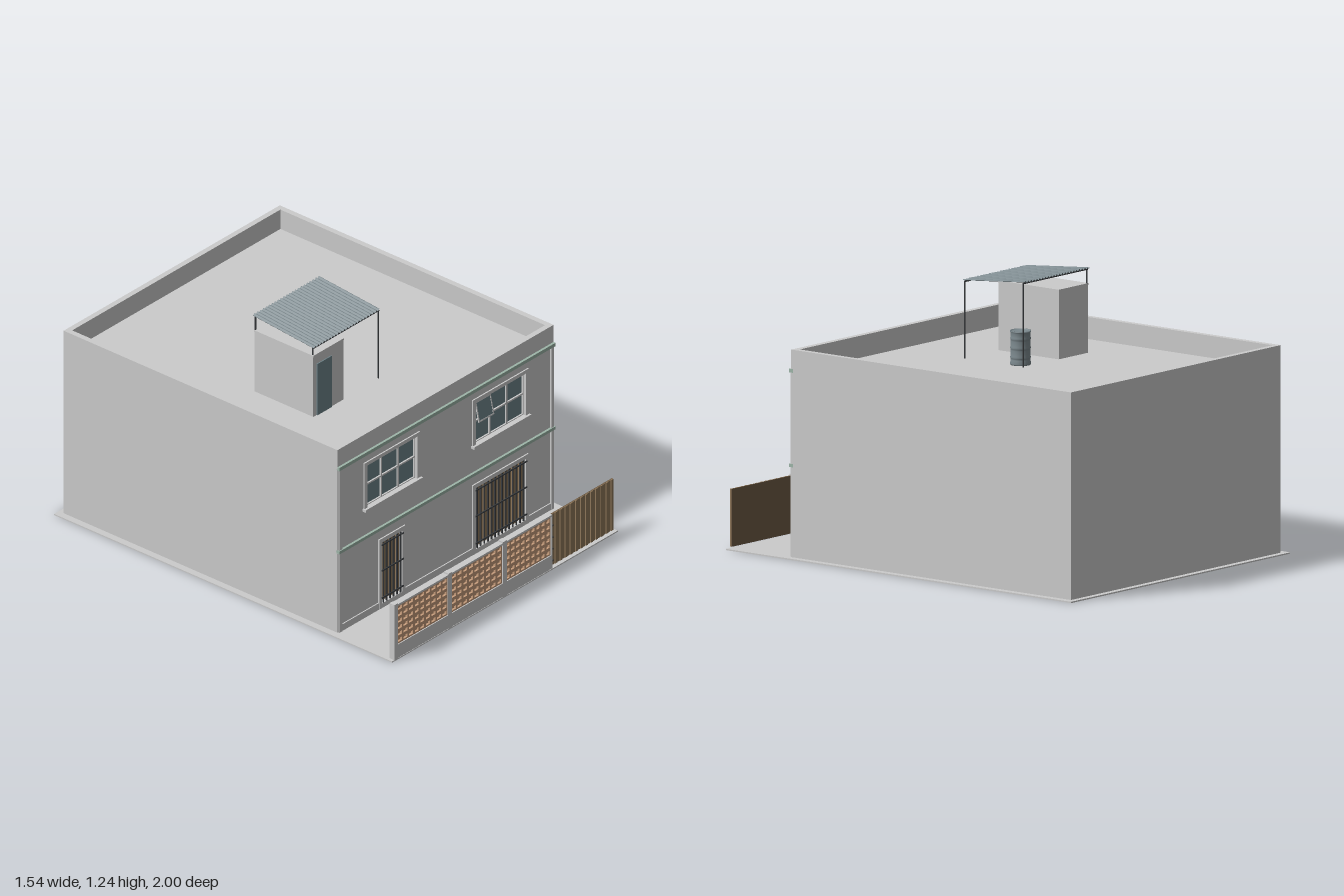
import * as THREE from 'three';

const mat = (color) => new THREE.MeshStandardMaterial({ color, side: THREE.DoubleSide });
const GREY = mat(0xcccccc), GREEN = mat(0x9db5a8), GLASS = mat(0x6f858b), DARK = mat(0x3a3d40);
const WOOD = mat(0x8f7759), WOOD_DARK = mat(0x6f5b45), BRICK = mat(0xc79d7c), STEEL = mat(0x7b888d);

export function createModel() {
  const model = new THREE.Group();
  const add = (name, geometry, material, parent = model) => {
    const mesh = new THREE.Mesh(geometry, material);
    mesh.name = name;
    parent.add(mesh);
    return mesh;
  };
  // box given by its minimum and maximum along each axis
  const box = (name, x0, x1, y0, y1, z0, z1, material = GREY, parent = model) => {
    const mesh = add(name, new THREE.BoxGeometry(x1 - x0, y1 - y0, z1 - z0), material, parent);
    mesh.position.set((x0 + x1) / 2, (y0 + y1) / 2, (z0 + z1) / 2);
    return mesh;
  };
  const group = (name) => {
    const g = new THREE.Group();
    g.name = name;
    model.add(g);
    return g;
  };
  const rect = (x0, x1, y0, y1, Type = THREE.Shape) => new Type([
    [x0, y0], [x1, y0], [x1, y1], [x0, y1]].map(([x, y]) => new THREE.Vector2(x, y)));
  // upright plate with rectangular holes
  const plate = (name, outer, holes, z0, z1, material = GREY, parent = model) => {
    const shape = rect(...outer);
    for (const h of holes) shape.holes.push(rect(...h, THREE.Path));
    const mesh = add(name, new THREE.ExtrudeGeometry(shape, { depth: z1 - z0, bevelEnabled: false }), material, parent);
    mesh.position.z = z0;
    return mesh;
  };

  // ground and main block
  const W = 0.737, ROOF = 0.85, BACK = -0.972, FRONT = 0.648;
  box('ground', -0.77, 0.77, 0, 0.006, -1, 1);
  box('houseBody', -W, W, 0.006, ROOF, BACK, 0.615);
  const doors = [[-0.44, -0.30, 0.03, 0.345], [0.20, 0.54, 0.03, 0.345]];
  const windows = [[-0.54, -0.20, 0.57, 0.787], [0.20, 0.54, 0.57, 0.787]];
  plate('facade', [-W, W, 0.006, ROOF], [...doors, ...windows], 0.615, FRONT);
  const parapet = plate('parapet', [-W, W, -FRONT, -BACK],
    [[-W + 0.027, W - 0.027, -FRONT + 0.027, -BACK - 0.027]], 0, 0.1);
  parapet.rotation.x = -Math.PI / 2;
  parapet.position.set(0, ROOF, 0);

  // facade trim
  for (const s of [-1, 1]) {
    const x = s * 0.722;
    box('cornerPilaster', x - 0.009, x + 0.009, 0.006, 0.845, FRONT, 0.656);
  }
  box('upperCornice', -W, W, 0.845, 0.862, FRONT - 0.01, 0.66, GREEN);
  box('floorCornice', -W, W, 0.415, 0.43, FRONT - 0.01, 0.66, GREEN);
  box('frontPlinth', -0.713, -0.46, 0.006, 0.04, FRONT, 0.654);
  box('frontPlinth', -0.28, 0.18, 0.006, 0.04, FRONT, 0.654);
  box('frontPlinth', 0.56, 0.713, 0.006, 0.04, FRONT, 0.654);

  // upper windows: three columns and two rows of panes
  windows.forEach(([x0, x1, y0, y1], i) => {
    const g = group('window');
    plate('windowSurround', [x0 - 0.02, x1 + 0.02, y0 - 0.005, y1 + 0.018], [[x0, x1, y0, y1]], FRONT, 0.655, GREY, g);
    box('windowSill', x0 - 0.025, x1 + 0.025, y0 - 0.013, y0, FRONT, 0.667, GREY, g);
    const w = (x1 - x0) / 3, h = (y1 - y0) / 2, panes = [];
    for (let c = 0; c < 3; c++) for (let r = 0; r < 2; r++) {
      panes.push([x0 + c * w + 0.004, x0 + (c + 1) * w - 0.004, y0 + r * h + 0.004, y0 + (r + 1) * h - 0.004]);
    }
    plate('windowFrame', [x0, x1, y0, y1], panes, 0.63, 0.64, GREY, g);
    box('glass', x0, x1, y0, y1, 0.628, 0.632, GLASS, g);
    if (i === 1) {
      // sash tilted outward
      const sash = new THREE.Group();
      sash.name = 'openSash';
      sash.position.set(x0 + w / 2, y1 - 0.005, 0.642);
      sash.rotation.x = -0.22;
      g.add(sash);
      plate('sashFrame', [-0.052, 0.052, -0.1, 0], [[-0.046, 0.046, -0.094, -0.006]], 0, 0.006, GREY, sash);
      box('sashGlass', -0.046, 0.046, -0.094, -0.006, 0.002, 0.004, GLASS, sash);
    }
  });

  // ground floor openings: wooden slats behind an iron grille
  for (const [x0, x1, y0, y1] of doors) {
    const g = group('grilledDoor');
    plate('doorSurround', [x0 - 0.02, x1 + 0.02, 0.006, y1 + 0.02], [[x0, x1, y0, y1]], FRONT, 0.655, GREY, g);
    const n = Math.round((x1 - x0) / 0.024), step = (x1 - x0) / n;
    for (let i = 0; i < n; i++) {
      const x = x0 + i * step;
      box('slat', x + 0.002, x + step - 0.002, y0, y1, 0.625, 0.632 + (i % 2) * 0.004, WOOD, g);
      box('grilleBar', x + step / 2 - 0.003, x + step / 2 + 0.003, y0, y1, 0.648, 0.654, DARK, g);
    }
    for (const y of [0.06, 0.2, 0.333]) box('grilleRail', x0 - 0.005, x1 + 0.005, y - 0.003, y + 0.003, 0.654, 0.659, DARK, g);
  }

  // front fence with pierced brick panels
  const fence = group('fence');
  const panels = [[-0.727, -0.385], [-0.36, -0.012], [0.01, 0.318]];
  plate('fenceWall', [-0.755, 0.325, 0.006, 0.283], panels.map(([a, b]) => [a, b, 0.075, 0.273]), 0.974, 0.998, GREY, fence);
  for (const x of [-0.742, -0.372, 0]) box('fencePost', x - 0.012, x + 0.012, 0.006, 0.29, 0.971, 1, GREY, fence);
  for (const [a, b] of panels) {
    const holes = [], cols = 9, rows = 6, w = (b - a) / cols, h = 0.198 / rows;
    for (let c = 0; c < cols; c++) for (let r = 0; r < rows; r++) {
      const x = a + c * w, y = 0.075 + r * h;
      holes.push([x + 0.006, x + w - 0.006, y + 0.008, y + h - 0.008]);
    }
    plate('piercedBrick', [a, b, 0.075, 0.273], holes, 0.981, 0.993, BRICK, fence);
    box('brickBacking', a, b, 0.075, 0.273, 0.979, 0.982, BRICK, fence);
  }

  // slatted gate and hinges
  const gate = group('gate');
  box('gatePanel', 0.335, 0.752, 0.015, 0.278, 0.98, 0.985, WOOD_DARK, gate);
  for (let i = 0; i < 24; i++) {
    const x = 0.335 + i * 0.417 / 24;
    box('gateSlat', x + 0.0015, x + 0.0159, 0.015, 0.278, 0.985, 0.988 + (i % 2) * 0.003, WOOD, gate);
  }
  for (const y of [0.04, 0.1, 0.16, 0.22]) box('hinge', 0.322, 0.34, y - 0.004, y + 0.004, 0.984, 0.993, DARK, gate);

  // stair house on the roof
  box('stairHouse', -0.455, -0.25, ROOF, 1.158, -0.088, 0.26);
  box('stairHouseCap', -0.457, -0.248, 1.158, 1.167, -0.09, 0.262);
  box('stairHouseDoor', -0.432, -0.333, ROOF, 1.115, 0.258, 0.265, GLASS);

  // corrugated canopy: a wave in x that slopes up to the back
  const canopyGeo = new THREE.PlaneGeometry(0.457, 0.36, 184, 1);
  const p = canopyGeo.attributes.position;
  for (let i = 0; i < p.count; i++) {
    const x = p.getX(i), t = p.getY(i) / 0.36 + 0.5;
    p.setXYZ(i, x - 0.2265, 1.206 + 0.033 * t + 0.004 * Math.sin((x / 0.457) * 46 * Math.PI), 0.26 - 0.36 * t);
  }
  canopyGeo.computeVertexNormals();
  add('canopySheet', canopyGeo, STEEL);
  for (const [z, y] of [[0.253, 1.202], [-0.086, 1.233]]) {
    box('canopyBeam', -0.453, 0, y - 0.005, y, z - 0.003, z + 0.003, DARK);
    for (const [x, base] of [[-0.45, 1.16], [-0.003, ROOF]]) {
      const post = add('canopyPost', new THREE.CylinderGeometry(0.0035, 0.0035, y - base, 8), DARK);
      post.position.set(x, (y + base) / 2, z);
    }
  }

  // ribbed water drum
  const profile = [[0, 0], [0.045, 0], [0.048, 0.006]];
  for (const y of [0.035, 0.078, 0.12]) profile.push([0.044, y - 0.012], [0.044, y - 0.005], [0.048, y], [0.044, y + 0.005]);
  profile.push([0.044, 0.146], [0.048, 0.15], [0.048, 0.155], [0.043, 0.155], [0.043, 0.15], [0, 0.15]);
  const drum = add('waterDrum', new THREE.LatheGeometry(profile.map(([x, y]) => new THREE.Vector2(x, y)), 24), STEEL);
  drum.position.set(-0.048, ROOF, -0.033);

  return model;
}
